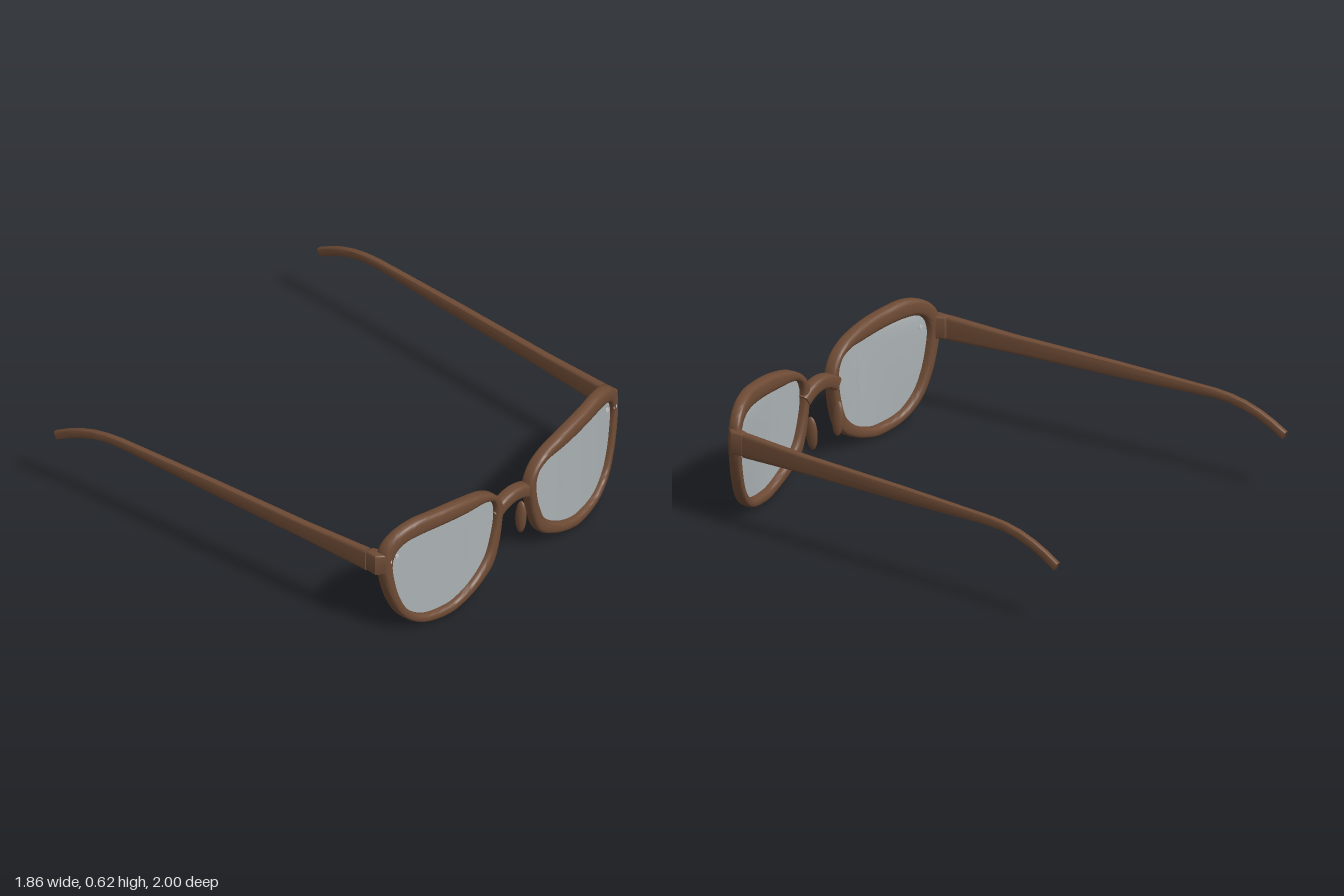
import * as THREE from 'three';
import { toCreasedNormals } from 'three/addons/utils/BufferGeometryUtils.js';

const V = (x, y, z = 0) => new THREE.Vector3(x, y, z);

// Front face of the spectacles wraps backwards towards the temples
const frontZ = (x) => 1 - 0.3 * Math.max(0, Math.abs(x) - 0.25) ** 2;

// Rounded-box cross-section spanned by half-axes u and v (u x v points back along the path)
function section(c, u, v, power, n = 20) {
  const soft = (s) => Math.sign(s) * Math.abs(s) ** power;
  return Array.from({ length: n }, (_, j) => {
    const a = (j / n) * Math.PI * 2;
    return c.clone().addScaledVector(u, soft(Math.cos(a))).addScaledVector(v, soft(Math.sin(a)));
  });
}

// Skin a row of equal-sized rings, either closed into a loop or capped at both ends
function loft(rings, closed) {
  const n = rings[0].length, m = rings.length, pts = rings.flat(), index = [];
  for (let i = 0; i < (closed ? m : m - 1); i++) {
    for (let j = 0; j < n; j++) {
      const a = i * n + j, b = ((i + 1) % m) * n + j;
      const d = i * n + (j + 1) % n, e = ((i + 1) % m) * n + (j + 1) % n;
      index.push(a, b, d, b, e, d);
    }
  }
  if (!closed) {
    for (let j = 1; j < n - 1; j++) {
      const k = (m - 1) * n;
      index.push(0, j, j + 1, k, k + j + 1, k + j);
    }
  }
  const g = new THREE.BufferGeometry().setFromPoints(pts);
  g.setIndex(index);
  return toCreasedNormals(g, 0.7);
}

// Rim outline: outer x, y and matching inner x, y
const RIM = [
  [0.36, 0.595, 0.33, 0.515], [0.535, 0.615, 0.52, 0.53], [0.64, 0.618, 0.63, 0.532],
  [0.74, 0.587, 0.7, 0.522], [0.797, 0.53, 0.745, 0.49], [0.815, 0.45, 0.765, 0.43],
  [0.802, 0.34, 0.755, 0.33], [0.77, 0.22, 0.73, 0.23], [0.71, 0.105, 0.685, 0.14],
  [0.61, 0.03, 0.6, 0.072], [0.46, 0.003, 0.47, 0.052], [0.38, 0.015, 0.4, 0.06],
  [0.26, 0.06, 0.285, 0.11], [0.165, 0.125, 0.2, 0.185], [0.12, 0.23, 0.16, 0.28],
  [0.1, 0.34, 0.14, 0.37], [0.09, 0.42, 0.142, 0.44], [0.13, 0.5, 0.165, 0.485],
  [0.21, 0.555, 0.22, 0.508],
];

function outline(k) {
  const curve = new THREE.CatmullRomCurve3(RIM.map((r) => V(r[k], r[k + 1])), true);
  return Array.from({ length: 95 }, (_, i) => curve.getPoint(i / 95));
}

function rimGeometry() {
  const outer = outline(0), inner = outline(2);
  return loft(outer.map((o, i) => {
    const c = o.clone().add(inner[i]).multiplyScalar(0.5);
    const ring = section(c, o.clone().sub(c), V(0, 0, -0.0325), 0.6);
    ring.forEach((p) => { p.z += frontZ(p.x) - 0.0325; });
    return ring;
  }), true);
}

// Curved lens sheet: outline shrunk in steps to its centre
function lensGeometry() {
  const edge = outline(2), c = V(0.46, 0.3);
  const rings = [];
  for (let s = 0; s <= 8; s++) {
    rings.push(edge.map((p) => {
      const q = c.clone().lerp(p, 1.02 * (1 - s / 8));
      q.z = frontZ(q.x) - 0.03;
      return q;
    }));
  }
  return loft(rings, false);
}

// Temple stations: top z, top y, bottom z, bottom y
const TEMPLE = [
  [0.805, 0.5, 0.805, 0.383], [0.45, 0.484, 0.45, 0.396], [-0.1, 0.476, -0.1, 0.404],
  [-0.55, 0.463, -0.55, 0.417], [-0.62, 0.461, -0.618, 0.417], [-0.7, 0.453, -0.692, 0.412],
  [-0.78, 0.436, -0.768, 0.397], [-0.86, 0.408, -0.843, 0.37], [-0.93, 0.374, -0.91, 0.338],
  [-1, 0.332, -0.98, 0.295],
];

function templeGeometry() {
  return loft(TEMPLE.map(([zt, yt, zb, yb]) => {
    const z = (zt + zb) / 2, t = (0.805 - z) / 1.8;
    const c = V(0.82 + 0.095 * t, (yt + yb) / 2, z);
    return section(c, V(0.02 - 0.006 * t, 0), V(0, (yt - yb) / 2, (zt - zb) / 2), 0.35);
  }), false);
}

// Hinge block joining rim and temple
function endPieceGeometry() {
  const plan = [[0.775, 0.895], [0.805, 0.892], [0.833, 0.865], [0.829, 0.818], [0.8, 0.818], [0.788, 0.855]];
  const g = new THREE.ExtrudeGeometry(new THREE.Shape(plan.map(([x, z]) => new THREE.Vector2(x, z))), {
    depth: 0.094, bevelEnabled: true, bevelThickness: 0.008, bevelSize: 0.008, bevelSegments: 3,
  });
  g.rotateX(Math.PI / 2);
  g.translate(0, 0.49, 0);
  return toCreasedNormals(g, 0.6);
}

function bridgeGeometry() {
  const rings = [];
  for (let i = 0; i <= 16; i++) {
    const x = -0.125 + (0.25 * i) / 16;
    const slope = -5.6 * x;
    const u = V(-slope, 1).normalize().multiplyScalar(0.034);
    rings.push(section(V(x, 0.42 - 2.8 * x * x, 0.96), u, V(0, 0, -0.032), 0.5));
  }
  return loft(rings, false);
}

export function createModel() {
  const model = new THREE.Group();
  model.name = 'glasses';
  const paint = (name, color, extra = {}) => Object.assign(new THREE.MeshStandardMaterial({ color, ...extra }), { name });
  const brown = paint('brownFrame', 0x6e4b35);
  const grey = paint('greyLens', 0xabb1b4, { side: THREE.DoubleSide });
  const silver = paint('silverRivet', 0xc4c4c4);

  const add = (parent, name, geometry, material) => {
    const mesh = new THREE.Mesh(geometry, material);
    mesh.name = name;
    parent.add(mesh);
    return mesh;
  };

  add(model, 'bridge', bridgeGeometry(), brown);

  // Everything else is mirrored left and right
  for (const [name, sign] of [['left', 1], ['right', -1]]) {
    const half = new THREE.Group();
    half.name = name + 'Side';
    half.scale.x = sign;
    model.add(half);
    add(half, name + 'Rim', rimGeometry(), brown);
    add(half, name + 'Lens', lensGeometry(), grey);
    add(half, name + 'EndPiece', endPieceGeometry(), brown);
    add(half, name + 'Temple', templeGeometry(), brown);

    // Nose pad hanging behind the inner edge of the rim
    const pad = add(half, name + 'NosePad', new THREE.SphereGeometry(1, 20, 14), brown);
    pad.scale.set(0.019, 0.085, 0.03);
    pad.position.set(0.105, 0.215, 0.926);
    pad.rotation.z = -0.08;

    // Small rivets on rim and lens
    for (const [x, depth] of [[0.775, 0.008], [0.73, 0.03]]) {
      const rivet = add(half, name + 'Rivet', new THREE.CylinderGeometry(0.011, 0.011, 0.012, 16), silver);
      rivet.rotation.x = Math.PI / 2;
      rivet.position.set(x, 0.455, frontZ(x) - depth);
    }
  }
  return model;
}
